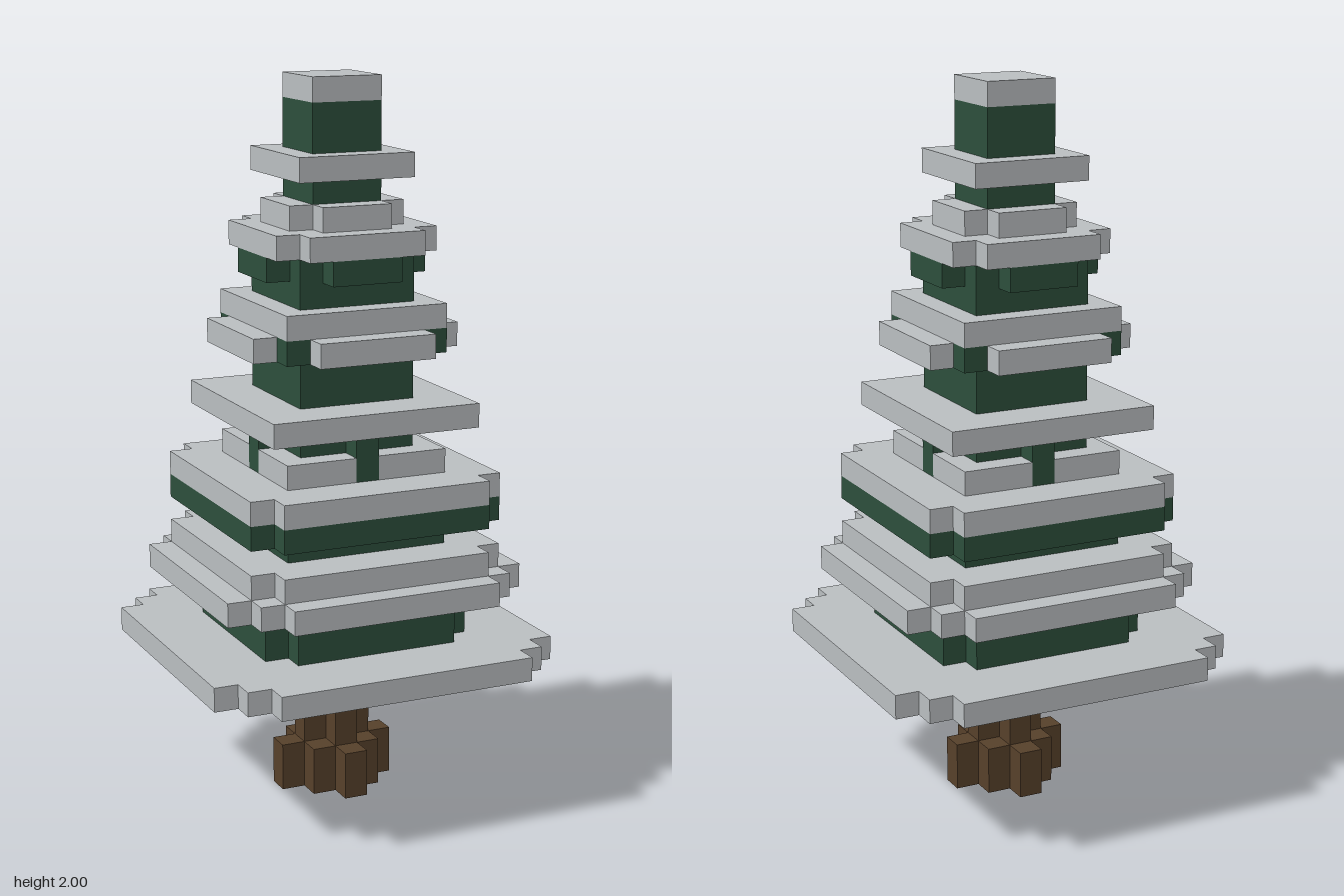
import * as THREE from 'three';

const U = 1 / 15; // one voxel

// Stepped outline with four-fold symmetry; steps are the outer corners of one quadrant
function outline(steps, PathType = THREE.Shape) {
  const quarter = [];
  steps.forEach(([x, y], i) => {
    if (i > 0) quarter.push([x, steps[i - 1][1]]);
    quarter.push([x, y]);
  });
  const points = [];
  for (let q = 0; q < 4; q++) {
    for (const [x, y] of quarter) {
      const [px, py] = [[x, y], [-y, x], [-x, -y], [y, -x]][q];
      points.push(new THREE.Vector2(px * U, py * U));
    }
  }
  return new PathType(points);
}

const square = h => [[h, h]];
const notched = h => [[h, h - 1], [h - 1, h]];

export function createModel() {
  const tree = new THREE.Group();
  tree.name = 'snowyTree';
  const material = (name, color) => {
    const m = new THREE.MeshStandardMaterial({ color });
    m.name = name;
    return m;
  };
  const snow = material('snow', 0xb9bdc0);
  const green = material('needles', 0x2c4e3b);
  const bark = material('bark', 0x56402a);

  // Flat layer from voxel row y, with an optional hole
  function layer(name, mat, y, height, steps, hole) {
    const shape = outline(steps);
    if (hole) shape.holes.push(outline(hole, THREE.Path));
    const geometry = new THREE.ExtrudeGeometry(shape, { depth: height * U, bevelEnabled: false });
    geometry.rotateX(-Math.PI / 2);
    const mesh = new THREE.Mesh(geometry, mat);
    mesh.name = name;
    mesh.position.y = y * U;
    tree.add(mesh);
  }

  // Same block on all four sides
  function around(name, mat, y, w, d, x, z) {
    const group = new THREE.Group();
    group.name = name;
    for (let i = 0; i < 4; i++) {
      const geometry = new THREE.BoxGeometry(w * U, U, d * U);
      geometry.translate(x * U, (y + 0.5) * U, z * U);
      const mesh = new THREE.Mesh(geometry, mat);
      mesh.name = name + 'Block';
      mesh.rotation.y = i * Math.PI / 2;
      group.add(mesh);
    }
    tree.add(group);
  }

  // Trunk
  layer('trunkBase', bark, 0, 2, [[2.5, 0.5], [1.5, 1.5], [0.5, 2.5]]);
  layer('trunk', bark, 2, 4, notched(1.5));

  // Lowest tier
  layer('bottomSnow', snow, 6, 1, [[7.5, 5.5], [6.5, 6.5], [5.5, 7.5]], notched(4.5));
  layer('bottomBranches', green, 6, 3, notched(4.5));
  layer('lowerSnowSkirt', snow, 9, 1, [[6.5, 4.5], [5.5, 5.5], [4.5, 6.5]]);
  layer('lowerSnowCap', snow, 10, 1, notched(5.5));

  // Second tier
  layer('secondCore', green, 11, 1, square(3.5));
  layer('secondBranches', green, 12, 1, notched(5.5));
  layer('secondSnow', snow, 13, 1, notched(5.5));
  around('secondSnowCorners', snow, 14, 3, 3, 2, 2);
  layer('twigCross', green, 14, 1, [[3.5, 0.5], [0.5, 3.5]]);
  layer('twigCore', green, 15, 1, [[3.5, 0.5], [2.5, 2.5], [0.5, 3.5]]);

  // Middle tier
  layer('middleSnow', snow, 16, 1, square(4.5));
  layer('middleCore', green, 17, 2, square(2.5));
  layer('middleBranches', green, 19, 1, square(3.5));
  around('middleSnowLedges', snow, 19, 5, 1, 0, 4);
  layer('middleSnowCap', snow, 20, 1, square(3.5));

  // Upper tier
  layer('upperCore', green, 21, 1, square(2.5));
  layer('upperBranches', green, 22, 1, [[3.5, 1.5], [2.5, 2.5], [1.5, 3.5]]);
  layer('upperSnow', snow, 23, 1, notched(3.5));
  layer('upperSnowCap', snow, 24, 1, notched(2.5));

  // Top
  layer('topCore', green, 25, 1, square(1.5));
  layer('topSnowRing', snow, 26, 1, square(2.5));
  layer('tip', green, 27, 2, square(1.5));
  layer('tipSnow', snow, 29, 1, square(1.5));

  return tree;
}
